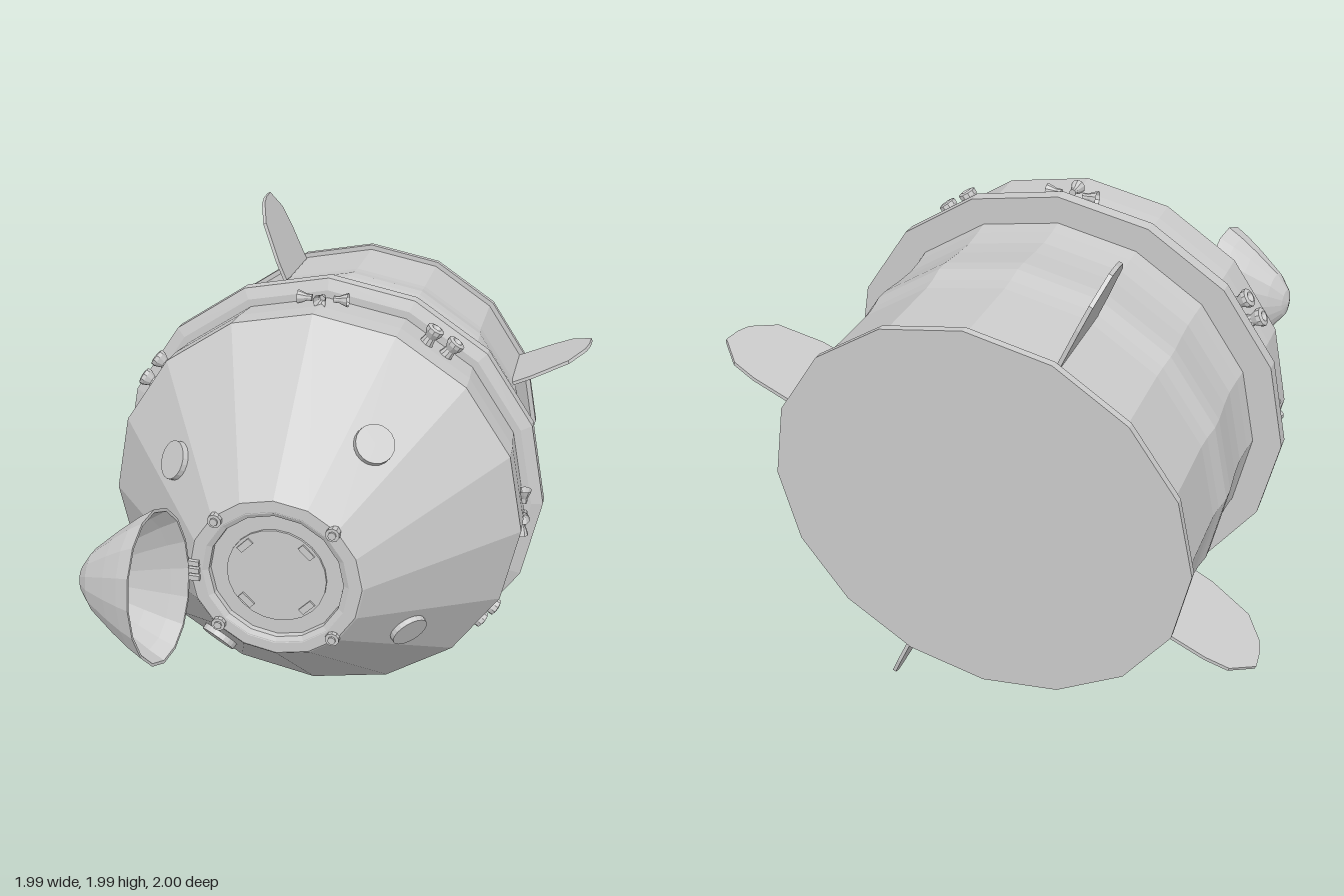
import * as THREE from 'three';

const V2 = (x, y) => new THREE.Vector2(x, y);
const V3 = (x, y, z) => new THREE.Vector3(x, y, z);
const UP = V3(0, 1, 0);

export function createModel() {
  const model = new THREE.Group();
  model.name = 'spaceCapsule';
  const grey = new THREE.MeshStandardMaterial({ color: 0xcccccc, flatShading: true, side: THREE.DoubleSide });
  grey.name = 'light grey';

  // Everything on the capsule is built around the z axis, then raised
  const craft = new THREE.Group();
  craft.name = 'craft';
  craft.position.y = 0.997;
  model.add(craft);

  function add(geometry, name, pos, dir) {
    const mesh = new THREE.Mesh(geometry, grey);
    mesh.name = name;
    if (pos) mesh.position.copy(pos);
    if (dir) mesh.quaternion.setFromUnitVectors(UP, dir.clone().normalize());
    craft.add(mesh);
    return mesh;
  }
  // Lathe around z from [radius, z] pairs, listed back to front
  const turned = (pairs, sides = 16) =>
    new THREE.LatheGeometry(pairs.map(([r, z]) => V2(r, z)), sides).rotateX(Math.PI / 2);
  const radial = (a) => V3(Math.cos(a), Math.sin(a), 0);
  const tangent = (a) => V3(-Math.sin(a), Math.cos(a), 0);
  const quarters = (start) => [0, 1, 2, 3].map((i) => THREE.MathUtils.degToRad(start + 90 * i));

  // Rear service section with its shallow bulge
  const service = turned([
    [0, -1], [0.772, -1], [0.772, -0.975], [0.752, -0.975], [0.752, -0.68], [0.757, -0.63],
    [0.768, -0.57], [0.768, -0.52], [0.758, -0.42], [0.754, -0.34], [0.76, -0.26], [0.768, -0.2],
  ]);
  add(service, 'serviceSection').scale.set(1.005, 0.99, 1);

  // Flange between the two sections
  const flange = turned([[0.74, -0.205], [0.875, -0.205], [0.875, -0.155], [0.83, -0.14], [0.78, -0.14]]);
  add(flange, 'flange').scale.set(1.005, 0.985, 1);

  // Conical cabin with a recessed docking port
  const cabin = turned([[0.8, -0.145], [0.813, 0.0], [0.815, 0.1], [0.325, 0.66], [0.318, 0.665], [0.27, 0.665]]);
  add(cabin, 'cabin').scale.set(1.005, 0.985, 1);
  add(turned([[0, 0.635], [0.248, 0.635], [0.25, 0.655], [0.272, 0.666]].reverse()), 'dockingTunnel');
  const hatch = new THREE.CylinderGeometry(0.185, 0.185, 0.012, 24);
  add(hatch, 'hatch', V3(0, 0, 0.638), V3(0, 0, 1));

  for (const a of quarters(45)) {
    // Hatch catches and port latches
    const catchPlate = add(new THREE.BoxGeometry(0.025, 0.06, 0.008), 'hatchCatch', radial(a).multiplyScalar(0.16).setZ(0.647));
    catchPlate.rotation.z = a;
    const p = radial(a).multiplyScalar(0.303);
    add(new THREE.CylinderGeometry(0.026, 0.026, 0.035, 10), 'latch', p.clone().setZ(0.665), V3(0, 0, 1));
    add(new THREE.CylinderGeometry(0.015, 0.015, 0.01, 8), 'latchPin', p.clone().setZ(0.685), V3(0, 0, 1));
  }

  // Portholes lying on the cone
  for (const a of quarters(56)) {
    const normal = radial(a).multiplyScalar(0.753).setZ(0.658);
    add(new THREE.CylinderGeometry(0.073, 0.075, 0.035, 20), 'porthole', radial(a).multiplyScalar(0.538).setZ(0.41), normal);
  }

  // Small flared nozzle, mouth along its +y axis
  const nozzle = new THREE.LatheGeometry([V2(0, -0.028), V2(0.013, -0.028), V2(0.013, -0.008), V2(0.021, 0.01), V2(0.027, 0.028)], 10);

  // Steering thrusters: a sideways pair and one facing forward
  for (const a of quarters(0)) {
    for (const s of [-1, 1]) {
      const t = tangent(a).multiplyScalar(s);
      add(nozzle, 'sideThruster', radial(a).multiplyScalar(0.81).addScaledVector(t, 0.07).setZ(-0.065), t);
    }
    add(nozzle, 'forwardThruster', radial(a).multiplyScalar(0.815).setZ(-0.035), V3(0, 0, 1));
  }
  // Paired thrusters facing outward
  for (const a of quarters(56)) {
    for (const s of [-1, 1]) {
      const d = radial(a + s * 0.055);
      const bell = new THREE.LatheGeometry([V2(0.03, -0.05), V2(0.022, -0.01), V2(0.035, 0.015), V2(0.035, 0.03), V2(0.02, 0.035), V2(0, 0.02)], 10);
      add(bell, 'outwardThruster', d.clone().multiplyScalar(0.825).setZ(-0.05 + s * 0.008), d);
    }
  }

  // Four tail fins, outline in (radius, z)
  const outline = [
    [0.72, -0.975], [0.91, -0.975], [1.0, -0.96], [1.085, -0.885], [1.08, -0.82],
    [1.065, -0.77], [0.995, -0.685], [0.83, -0.64], [0.72, -0.635],
  ].map(([r, z]) => V2(r, z));
  const finGeo = new THREE.ExtrudeGeometry(new THREE.Shape(outline), { depth: 0.014, bevelEnabled: false });
  finGeo.translate(0, 0, -0.007).rotateX(Math.PI / 2);
  for (const a of quarters(24)) add(finGeo, 'fin').rotation.z = a;

  // Nose cap swung open beside the port: a thin, flattened, slanted shell
  const shell = [[0, 1.02], [0.2, 0.97], [0.42, 0.8], [0.7, 0.45], [0.88, 0.2], [1, 0]];
  const inner = shell.map(([r, h]) => [r * 0.96, h * 0.96]).reverse();
  const cap = new THREE.LatheGeometry([...shell, ...inner].map(([r, h]) => V2(r, h)).reverse(), 16);
  cap.applyMatrix4(new THREE.Matrix4().makeBasis(V3(0, 0.315, 0), V3(-0.285, 0, 0), V3(0.055, 0, -0.168)));
  add(cap, 'noseCap', V3(-0.375, 0.003, 0.83));

  // Hinge of the nose cap
  for (const y of [-0.03, 0, 0.03]) add(new THREE.BoxGeometry(0.04, 0.02, 0.03), 'hinge', V3(-0.3, y, 0.665));

  return model;
}
